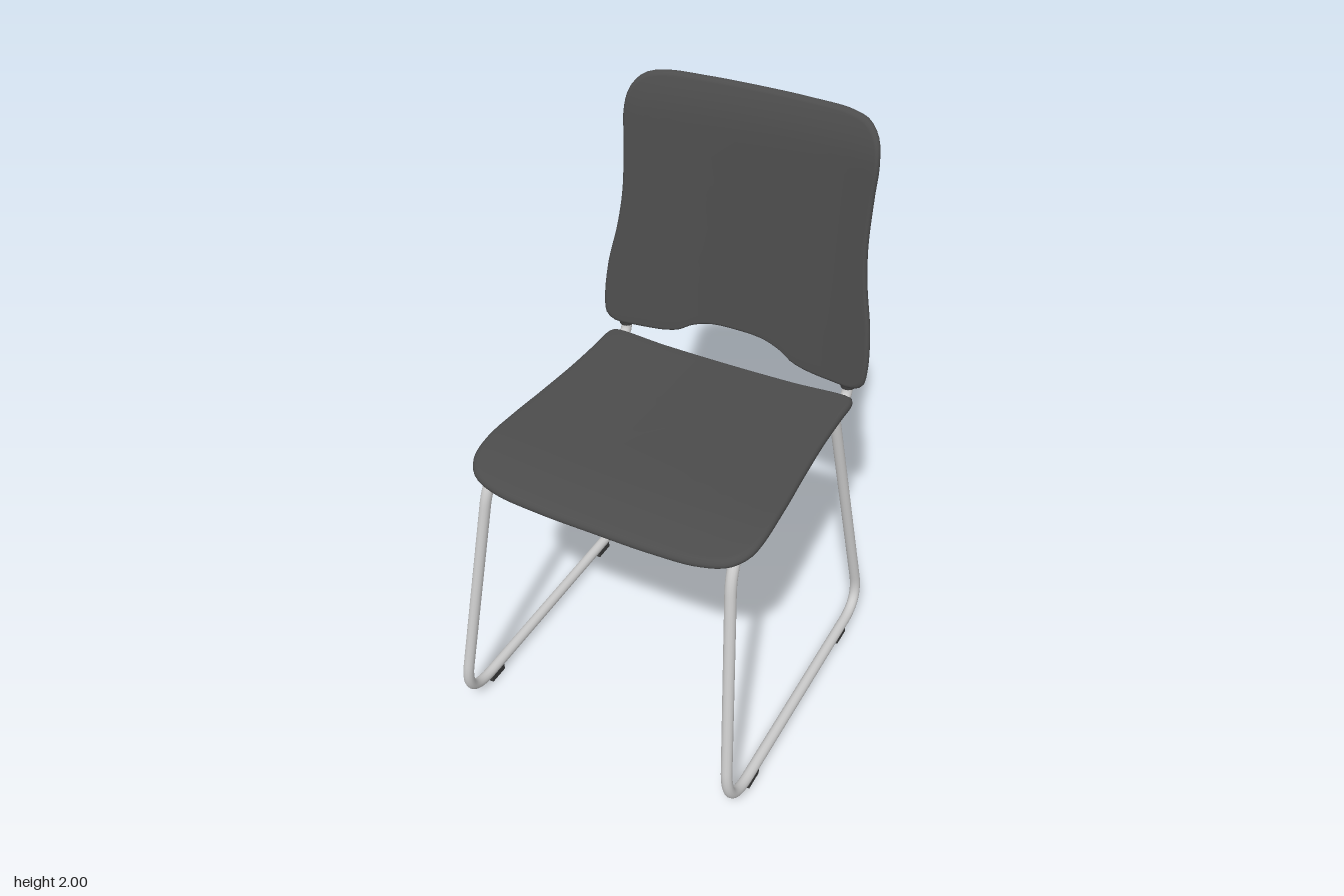
import * as THREE from 'three';

const V = (x, y, z) => new THREE.Vector3(x, y, z);
const metal = new THREE.MeshStandardMaterial({ color: 0xcccccc });
const shell = new THREE.MeshStandardMaterial({ color: 0x4c4c4c });
const rubber = new THREE.MeshStandardMaterial({ color: 0x3c3c3c });

function part(name, geometry, material) {
  const mesh = new THREE.Mesh(geometry, material);
  mesh.name = name;
  return mesh;
}

// Polyline with its inner corners rounded; cuts[i] is the length removed at corner i
function roundedPath(points, cuts) {
  const path = new THREE.CurvePath();
  let from = points[0];
  for (let i = 1; i < points.length - 1; i++) {
    const p = points[i];
    const toward = (q) => p.clone().add(q.clone().sub(p).setLength(cuts[i - 1]));
    const a = toward(points[i - 1]), b = toward(points[i + 1]);
    path.add(new THREE.LineCurve3(from, a));
    path.add(new THREE.QuadraticBezierCurve3(a, p, b));
    from = b;
  }
  path.add(new THREE.LineCurve3(from, points[points.length - 1]));
  return path;
}

// Soft-edged panel: half outline (bottom to top) mirrored in x, bent by place(u, v, w)
function panel(half, centreV, t, place) {
  const mirrored = half.slice(1, -1).reverse().map(([u, v]) => [-u, v]);
  const loop = [...half, ...mirrored].map(([u, v]) => V(u, v, 0));
  const n = 160;
  const outline = new THREE.CatmullRomCurve3(loop, true, 'centripetal').getSpacedPoints(n).slice(0, n);

  // Rings run from the underside centre, round the edge, to the top centre
  const flat = [0, 0.15, 0.3, 0.45, 0.6, 0.72, 0.82, 0.9];
  const edge = t / 0.48;
  const rings = flat.map((s) => [s, -t]);
  for (let k = 0; k <= 8; k++) {
    const a = -Math.PI / 2 + (k / 8) * Math.PI;
    rings.push([1 - edge * (1 - Math.cos(a)), t * Math.sin(a)]);
  }
  rings.push(...flat.map((s) => [s, t]).reverse());

  const position = [], index = [];
  rings.forEach(([s, w], k) => {
    outline.forEach((p, i) => {
      position.push(...place(p.x * s, centreV + (p.y - centreV) * s, w));
      if (k === rings.length - 1) return;
      const a = k * n + i, b = k * n + (i + 1) % n;
      if (k > 0) index.push(a, b, b + n);
      if (k < rings.length - 2) index.push(a, b + n, a + n);
      else index.push(a, b, a + n);
      if (k === 0) index.push(a, b + n, a + n);
    });
  });
  const g = new THREE.BufferGeometry();
  g.setAttribute('position', new THREE.Float32BufferAttribute(position, 3));
  g.setIndex(index);
  g.computeVertexNormals();
  return g;
}

export function createModel() {
  const chair = new THREE.Group();
  chair.name = 'chair';

  // Seat: slightly dished across, with a drooping front lip
  const seatHalf = [[0, -0.52], [0.2, -0.52], [0.36, -0.511], [0.45, -0.482], [0.492, -0.43], [0.505, -0.36],
    [0.5, -0.2], [0.487, -0.03], [0.476, 0.15], [0.473, 0.3], [0.472, 0.405], [0.462, 0.425], [0.25, 0.425], [0, 0.425]];
  chair.add(part('seat', panel(seatHalf, 0, 0.017, (x, v, w) => {
    const lip = Math.max(0, -v - 0.25) / 0.27;
    return [x, 1.024 + 0.012 * (x / 0.5) ** 2 - 0.042 * lip * lip + w, -v];
  }), shell));

  // Backrest: bowed backward, leaning, curled at the top edge
  const backHalf = [[0, 1.147], [0.1, 1.142], [0.17, 1.12], [0.22, 1.09], [0.28, 1.076], [0.38, 1.072], [0.46, 1.076],
    [0.493, 1.1], [0.502, 1.16], [0.492, 1.3], [0.462, 1.45], [0.447, 1.58], [0.447, 1.75], [0.45, 1.86],
    [0.435, 1.935], [0.395, 1.98], [0.33, 1.997], [0.18, 2], [0, 2]];
  chair.add(part('backrest', panel(backHalf, 1.55, 0.014, (x, y, w) => {
    const curl = Math.max(0, y - 1.85) / 0.15;
    return [x, y, -0.43 - 0.046 * (1 - (x / 0.5) ** 2) - 0.09 * (y - 1.08) - 0.028 * curl * curl + w];
  }), shell));

  for (const side of [1, -1]) {
    const name = side > 0 ? 'left' : 'right';
    // Point in the splayed plane of one side frame
    const at = (z, y) => V(side * (0.43 + 0.087 * Math.max(0, 1.015 - y)), y, z);

    // One bent tube: upright, seat rail, front leg, floor runner, back leg
    const path = roundedPath(
      [at(-0.47, 1.14), at(-0.457, 1.015), at(0.432, 1.015), at(0.592, 0.037), at(-0.552, 0.037), at(-0.352, 1.01)],
      [0.045, 0.15, 0.17, 0.14]);
    chair.add(part(name + 'SideFrame', new THREE.TubeGeometry(path, 260, 0.019, 14), metal));

    // Tapered sleeve holding the backrest on the upright
    const sleeve = part(name + 'BackSleeve', new THREE.LatheGeometry(
      [[0, 0], [0.022, 0], [0.023, 0.03], [0.021, 0.15], [0.016, 0.28], [0.01, 0.298], [0, 0.302]]
        .map(([r, y]) => new THREE.Vector2(r, y)), 16), shell);
    sleeve.position.set(side * 0.432, 1.075, -0.461);
    sleeve.rotation.x = -0.09;
    chair.add(sleeve);

    // Collar below the backrest
    const collar = part(name + 'Collar', new THREE.CylinderGeometry(0.025, 0.025, 0.016, 16), rubber);
    collar.position.set(side * 0.43, 1.068, -0.461);
    chair.add(collar);

    // Glides under the runner
    for (const z of [0.405, -0.36]) {
      const glide = part(name + 'Glide', new THREE.BoxGeometry(0.03, 0.028, 0.075), rubber);
      glide.position.set(side * 0.515, 0.014, z);
      chair.add(glide);
    }
  }

  // Thin cross bars under the seat
  for (const z of [-0.36, -0.03, 0.3]) {
    const bar = part('crossBar', new THREE.CylinderGeometry(0.008, 0.008, 0.86, 10), metal);
    bar.rotation.z = Math.PI / 2;
    bar.position.set(0, 1.002, z);
    chair.add(bar);
  }
  return chair;
}
